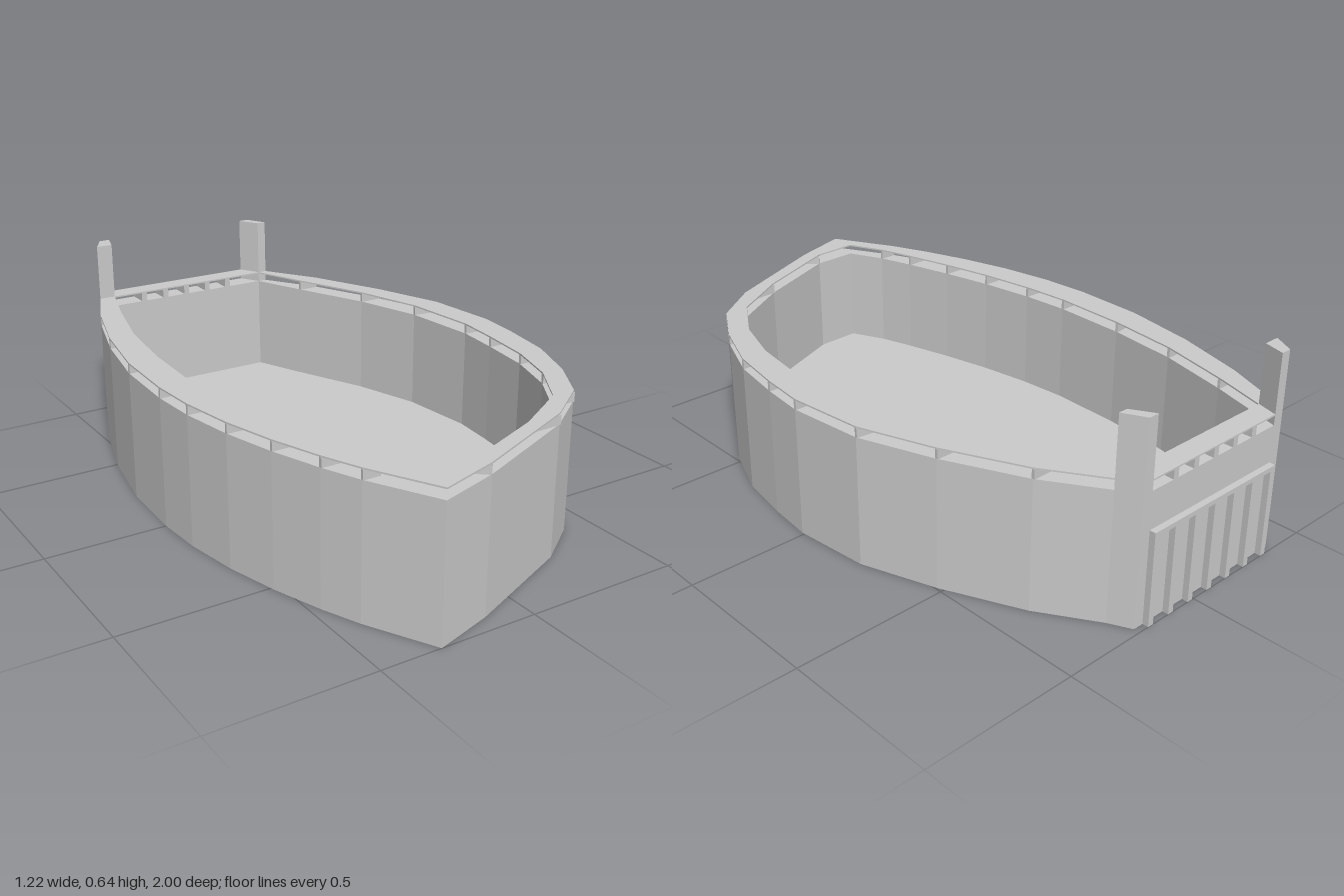
import * as THREE from 'three';

const material = new THREE.MeshStandardMaterial({ color: 0xcccccc, flatShading: true, side: THREE.DoubleSide });

// Plan outlines as [x, z], running from the left stern round the bow to the right stern.
// Each outer point is paired with an inner point.
const outer = [
  [0.265, -0.91], [0.38, -0.73], [0.495, -0.48], [0.58, -0.24], [0.605, 0.01], [0.59, 0.16],
  [0.56, 0.34], [0.49, 0.52], [0.4, 0.67], [0.25, 0.78], [-0.12, 0.94], [-0.31, 1],
  [-0.42, 0.79], [-0.47, 0.67], [-0.525, 0.51], [-0.57, 0.34], [-0.6, 0.16], [-0.61, 0],
  [-0.6, -0.24], [-0.555, -0.49], [-0.485, -0.73], [-0.41, -0.91],
];
const inner = [
  [0.235, -0.91], [0.31, -0.73], [0.42, -0.48], [0.49, -0.25], [0.515, 0.01], [0.5, 0.16],
  [0.475, 0.34], [0.42, 0.51], [0.32, 0.67], [0.13, 0.785], [-0.16, 0.905], [-0.31, 0.91],
  [-0.365, 0.79], [-0.4, 0.67], [-0.44, 0.51], [-0.475, 0.34], [-0.5, 0.16], [-0.51, 0],
  [-0.5, -0.25], [-0.47, -0.49], [-0.41, -0.73], [-0.355, -0.91],
];
const hullPlan = [[0.23, -0.98], ...outer, [-0.37, -0.98]];
const BOW = 11, FLOOR = 0.09, WALL_TOP = 0.42, RAIL_BOTTOM = 0.45, RAIL_TOP = 0.455;

const toPoints = (plan) => plan.map(([x, z]) => new THREE.Vector2(x, -z));

// Upright prism over a plan outline, with an optional opening
function prism(name, plan, y0, y1, hole) {
  const shape = new THREE.Shape(toPoints(plan));
  if (hole) shape.holes.push(new THREE.Path(toPoints(hole)));
  const geometry = new THREE.ExtrudeGeometry(shape, { depth: y1 - y0, bevelEnabled: false });
  geometry.rotateX(-Math.PI / 2).translate(0, y0, 0);
  const mesh = new THREE.Mesh(geometry, material);
  mesh.name = name;
  return mesh;
}

function box(name, x0, x1, y0, y1, z0, z1) {
  const geometry = new THREE.BoxGeometry(x1 - x0, y1 - y0, z1 - z0);
  geometry.translate((x0 + x1) / 2, (y0 + y1) / 2, (z0 + z1) / 2);
  const mesh = new THREE.Mesh(geometry, material);
  mesh.name = name;
  return mesh;
}

export function createModel() {
  const model = new THREE.Group();
  model.name = 'boat';

  // Hull: solid bottom and the walls standing on it
  model.add(prism('hullBottom', hullPlan, 0, FLOOR));
  model.add(prism('hullWalls', hullPlan, FLOOR, WALL_TOP, inner));

  // Thin gunwale rail floating above the walls
  model.add(prism('gunwaleRail', hullPlan, RAIL_BOTTOM, RAIL_TOP, inner));

  // Thin spacers under the rail, one across the wall at each corner
  const spacers = new THREE.Group();
  spacers.name = 'railSpacers';
  for (let i = 1; i < outer.length - 1; i++) {
    if (i === BOW) continue;
    const [ax, az] = outer[i], [bx, bz] = inner[i];
    const length = Math.hypot(bx - ax, bz - az);
    const nx = -(bz - az) / length * 0.005, nz = (bx - ax) / length * 0.005;
    spacers.add(prism('railSpacer', [
      [ax + nx, az + nz], [bx + nx, bz + nz], [bx - nx, bz - nz], [ax - nx, az - nz],
    ], WALL_TOP, RAIL_BOTTOM));
  }
  model.add(spacers);

  // Stern posts
  model.add(prism('rightSternPost',
    [[-0.41, -0.91], [-0.37, -0.98], [-0.335, -0.98], [-0.355, -0.91]], WALL_TOP, 0.645));
  model.add(prism('leftSternPost',
    [[0.265, -0.91], [0.23, -0.98], [0.195, -0.98], [0.235, -0.91]], WALL_TOP, 0.645));

  // Stern battens under a top strip, with rail spacers above them
  const stern = new THREE.Group();
  stern.name = 'sternFraming';
  stern.add(box('sternStrip', -0.335, 0.195, 0.285, 0.3, -1, -0.98));
  for (let i = 0; i < 7; i++) {
    const x = -0.325 + i * 0.085;
    stern.add(box('sternBatten', x - 0.01, x + 0.01, 0, 0.285, -1, -0.98));
    if (i > 0 && i < 6) stern.add(box('sternSpacer', x - 0.01, x + 0.01, WALL_TOP, RAIL_BOTTOM, -0.98, -0.91));
  }
  model.add(stern);
  return model;
}
